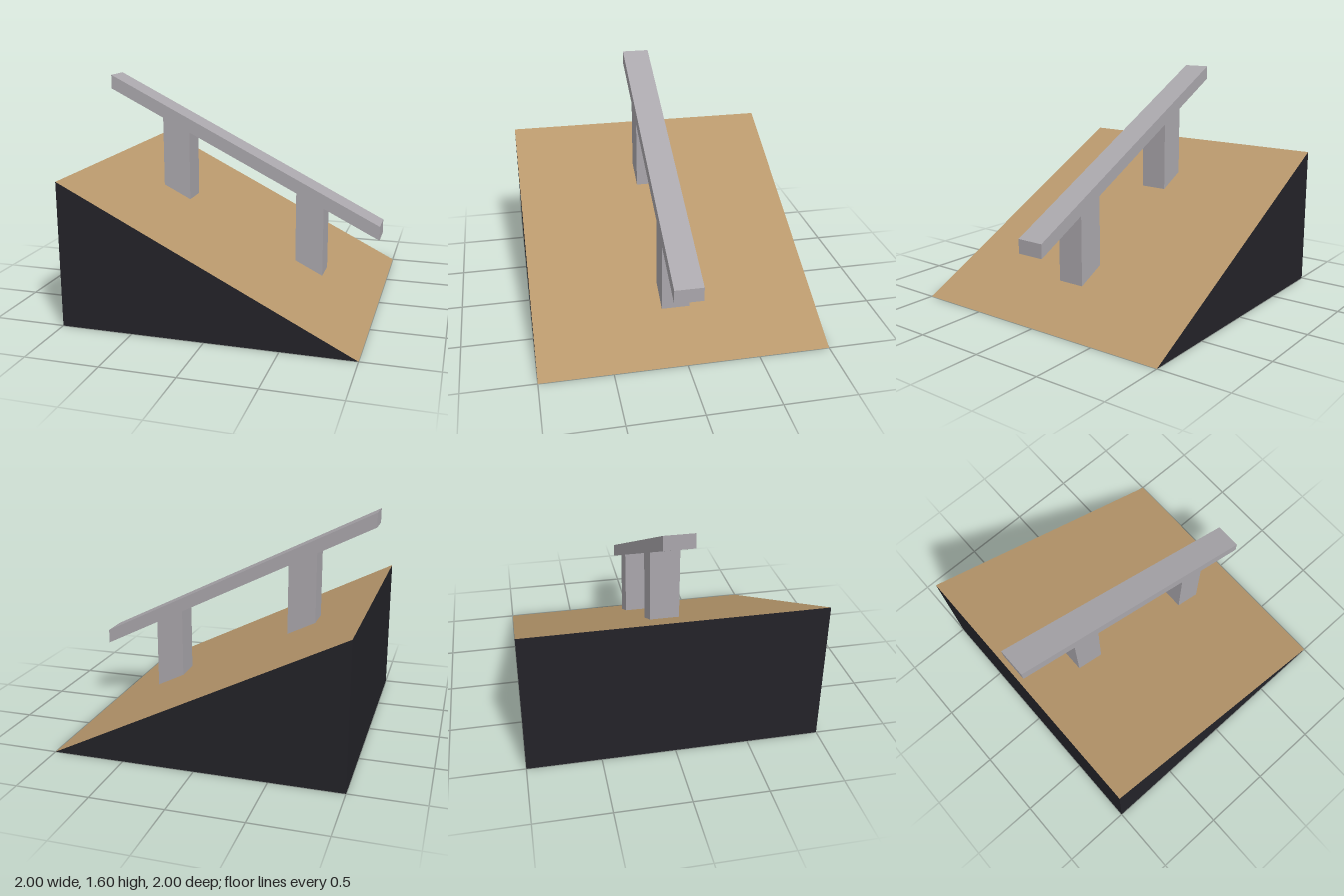
import * as THREE from 'three';
import { mergeGeometries } from 'three/addons/utils/BufferGeometryUtils.js';

const vec = ([x, y]) => new THREE.Vector2(x, y);
const slope = (x) => (1 - x) / 2; // height of the ramp surface at x

function material(color) {
  return new THREE.MeshStandardMaterial({ color, side: THREE.DoubleSide });
}

// Flat side panel of an outline, facing +z or -z
function panel(outline, z) {
  const g = new THREE.ShapeGeometry(new THREE.Shape(outline.map(vec)));
  if (z < 0) g.setIndex(Array.from(g.index.array).reverse());
  g.translate(0, 0, z);
  return g.toNonIndexed();
}

// Walls between the two panels along an open path (outline runs anticlockwise)
function walls(path, z) {
  const pos = [];
  for (let i = 0; i + 1 < path.length; i++) {
    const [a, b] = [path[i], path[i + 1]];
    pos.push(...a, z, ...a, -z, ...b, -z, ...a, z, ...b, -z, ...b, z);
  }
  const g = new THREE.BufferGeometry();
  g.setAttribute('position', new THREE.Float32BufferAttribute(pos, 3));
  return g;
}

// Thin shell: two panels joined by walls along the given paths only
function shell(name, outline, paths, z, color) {
  const parts = [panel(outline, z), panel(outline, -z), ...paths.map((p) => walls(p, z))];
  parts.forEach((g) => {
    g.deleteAttribute('uv');
    g.deleteAttribute('normal');
  });
  const geometry = mergeGeometries(parts);
  geometry.computeVertexNormals();
  const mesh = new THREE.Mesh(geometry, material(color));
  mesh.name = name;
  return mesh;
}

// Sloping deck with an opening under each post
function rampDeck(postCentres, half) {
  const rect = (x0, x1, d) => [[x0, -d], [x1, -d], [x1, d], [x0, d]].map(vec);
  const shape = new THREE.Shape(rect(-1, 1, 1));
  for (const x of postCentres) shape.holes.push(new THREE.Path(rect(x - half, x + half, half)));
  const g = new THREE.ShapeGeometry(shape);
  const p = g.attributes.position;
  for (let i = 0; i < p.count; i++) p.setXYZ(i, p.getX(i), slope(p.getX(i)), -p.getY(i));
  g.computeVertexNormals();
  const mesh = new THREE.Mesh(g, material(0xb8986c));
  mesh.name = 'rampDeck';
  return mesh;
}

export function createModel() {
  const group = new THREE.Group();
  group.name = 'rampWithRail';
  const postCentres = [-0.5, 0.5];
  const half = 0.1;

  group.add(rampDeck(postCentres, half));

  // Skirt: two triangular sides and the tall end, open underneath
  group.add(shell('rampSkirt', [[-1, 0], [1, 0], [-1, 1]], [[[-1, 1], [-1, 0]]], 1, 0x232228));

  // Rail and hollow posts in one outline, post feet left open
  const under = (x) => [x, slope(x) + 0.5];
  const foot = (x) => [x, slope(x)];
  const paths = [[[1, 0.6], [-1, 1.6], under(-1)]];
  for (const x of postCentres) {
    paths[paths.length - 1].push(under(x - half), foot(x - half));
    paths.push([foot(x + half), under(x + half)]);
  }
  paths[paths.length - 1].push(under(1), [1, 0.6]);
  group.add(shell('grindRail', paths.flat().slice(0, -1), paths, half, 0xaaa7ac));

  return group;
}
